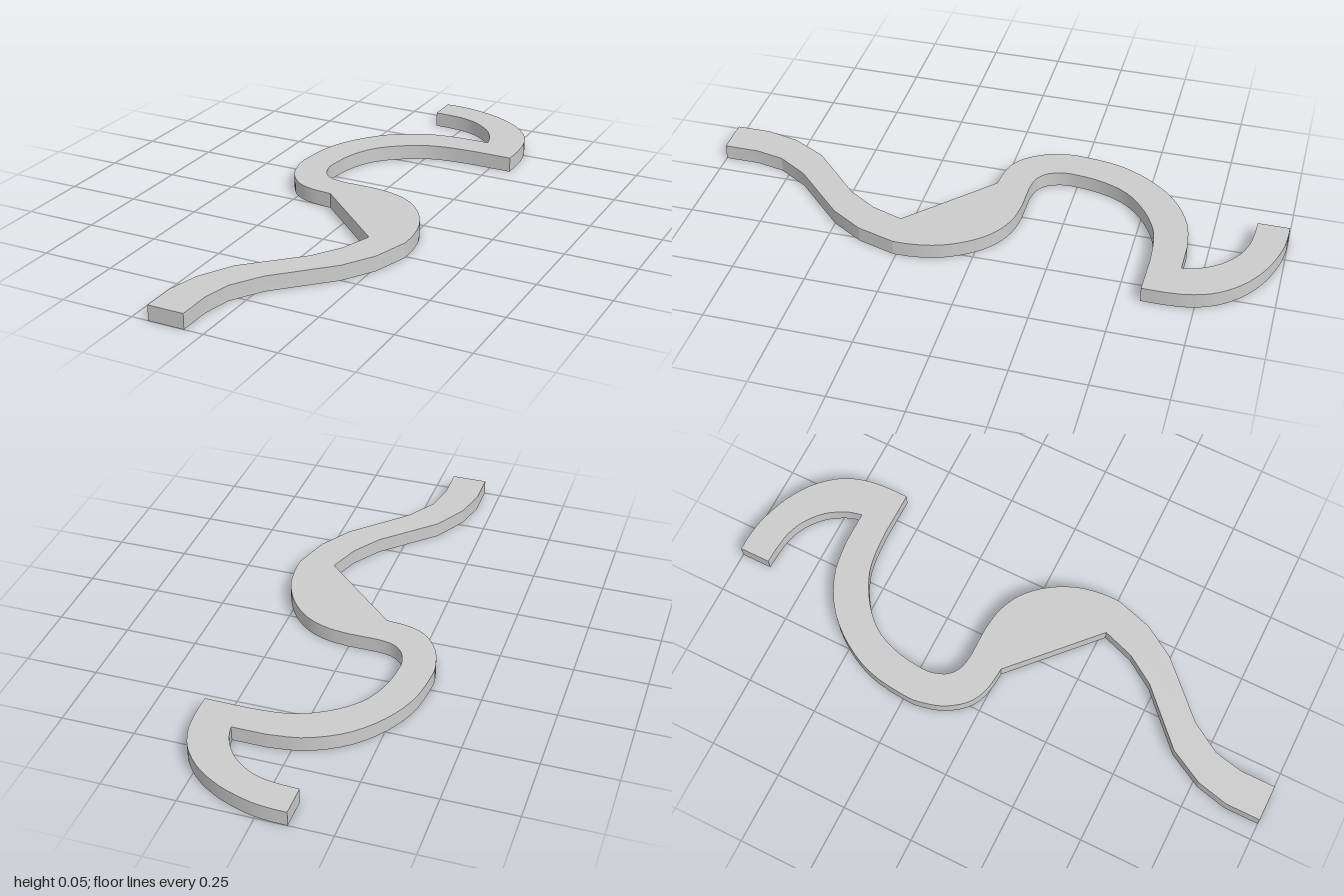
import * as THREE from 'three';
import { toCreasedNormals } from 'three/addons/utils/BufferGeometryUtils.js';

const HEIGHT = 0.053;

// Outline runs as [x, z]; smooth runs are splines, the rest straight facets.
const outline = [
  // outer side of the rear hook
  { smooth: true, pts: [[-0.04, -0.998], [0.03, -0.987], [0.13, -0.952], [0.22, -0.895], [0.285, -0.82], [0.317, -0.74], [0.327, -0.66], [0.327, -0.577]] },
  // inner side of the large bend
  { smooth: false, pts: [[0.18, -0.579]] },
  { smooth: true, pts: [[0.08, -0.572], [0, -0.552], [-0.09, -0.5], [-0.16, -0.43], [-0.2, -0.34], [-0.215, -0.25], [-0.215, -0.2], [-0.195, -0.147], [-0.155, -0.116], [-0.1, -0.106]] },
  // outer side of the front bend and front leg
  { smooth: false, pts: [[0, -0.106]] },
  { smooth: true, pts: [[0.08, -0.095], [0.16, -0.06], [0.23, 0.008], [0.28, 0.1], [0.3, 0.19], [0.302, 0.26]] },
  { smooth: false, pts: [[0.263, 0.39], [0.195, 0.5], [0.02, 0.675], [-0.045, 0.78], [-0.066, 0.88], [-0.066, 1]] },
  // front end, inner side of the leg and the straight web
  { smooth: false, pts: [[-0.191, 1], [-0.191, 0.88], [-0.165, 0.77], [-0.1, 0.65], [0.075, 0.48], [0.14, 0.38], [0.178, 0.27], [-0.1, 0.008]] },
  // outer side of the large bend
  { smooth: true, pts: [[-0.185, -0.003], [-0.25, -0.035], [-0.3, -0.1], [-0.323, -0.17], [-0.329, -0.24], [-0.308, -0.38], [-0.25, -0.5], [-0.16, -0.6], [-0.04, -0.665], [0.08, -0.685]] },
  { smooth: false, pts: [[0.195, -0.685]] },
  // inner side of the rear hook
  { smooth: true, pts: [[0.18, -0.74], [0.14, -0.805], [0.08, -0.855], [0.02, -0.88], [-0.04, -0.889], [-0.105, -0.892]] },
];

export function createModel() {
  const shape = new THREE.Shape();
  shape.moveTo(-0.105, -(-1));
  for (const { smooth, pts } of outline) {
    const run = pts.map(([x, z]) => new THREE.Vector2(x, -z));
    if (smooth) shape.splineThru(run);
    else run.forEach((p) => shape.lineTo(p.x, p.y));
  }
  shape.closePath();

  // Flat winding strip lying on the ground
  const flat = new THREE.ExtrudeGeometry(shape, { depth: HEIGHT, bevelEnabled: false, curveSegments: 3 });
  flat.rotateX(-Math.PI / 2);
  const strip = new THREE.Mesh(
    toCreasedNormals(flat, 0.24),
    new THREE.MeshStandardMaterial({ color: 0xcccccc }),
  );
  strip.name = 'windingStrip';

  const group = new THREE.Group();
  group.name = 'windingPath';
  group.add(strip);
  return group;
}
